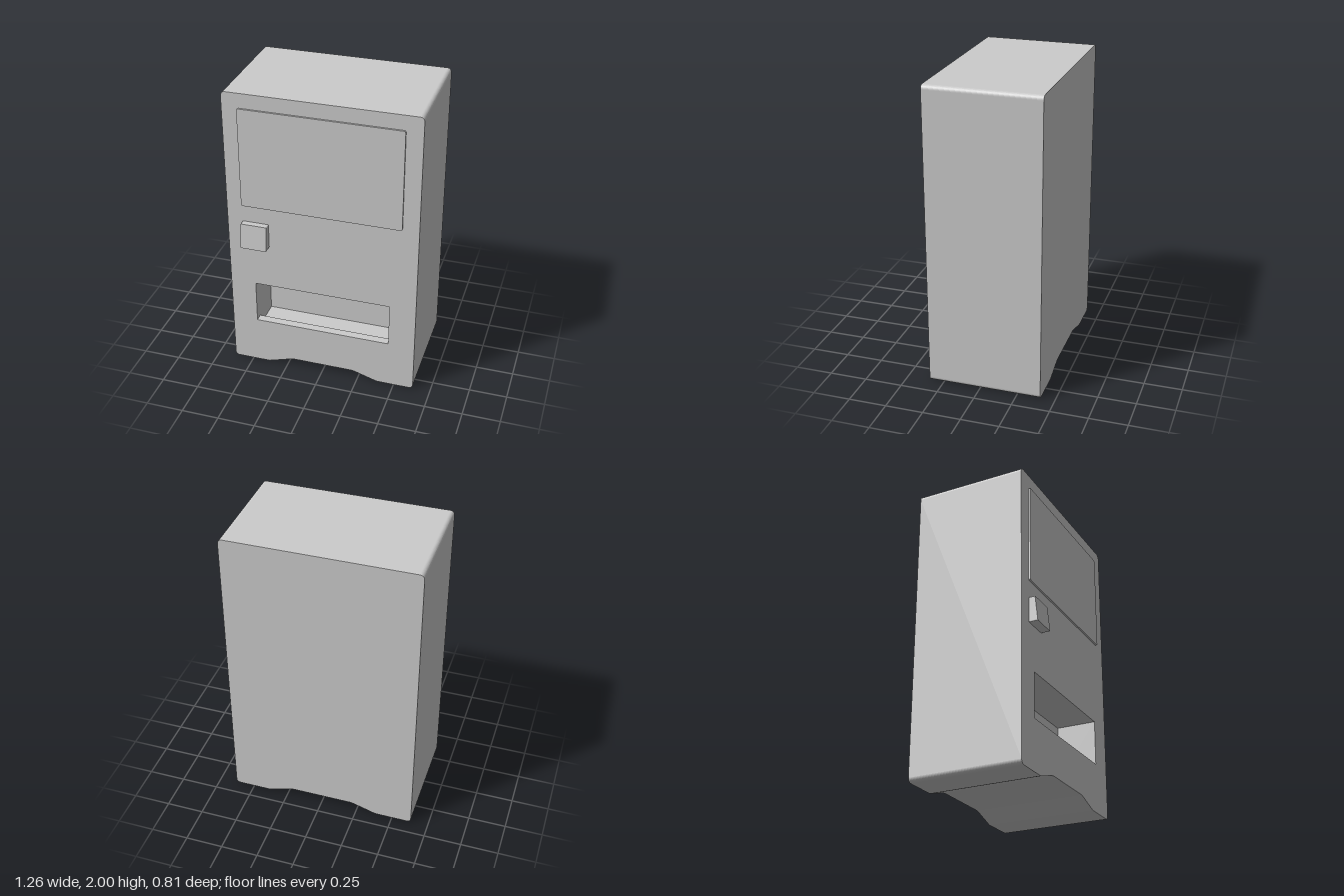
import * as THREE from 'three';

const material = new THREE.MeshStandardMaterial({ color: 0xcccccc, flatShading: true });
const thinMaterial = new THREE.MeshStandardMaterial({ color: 0xcccccc, flatShading: true, side: THREE.DoubleSide });

const FRONT = 0.345, BACK = -0.405;

function addMesh(parent, name, geometry, mat = material) {
  const mesh = new THREE.Mesh(geometry, mat);
  mesh.name = name;
  parent.add(mesh);
  return mesh;
}

// Flat wall following a line of points in x and y, from z = a to z = b
function wall(points, a, b) {
  const pos = [];
  for (let i = 0; i < points.length - 1; i++) {
    const p = points[i], q = points[i + 1];
    pos.push(p.x, p.y, a, q.x, q.y, a, q.x, q.y, b);
    pos.push(p.x, p.y, a, q.x, q.y, b, p.x, p.y, b);
  }
  const geometry = new THREE.BufferGeometry();
  geometry.setAttribute('position', new THREE.Float32BufferAttribute(pos, 3));
  geometry.computeVertexNormals();
  return geometry;
}

function roundedRect(x0, y0, x1, y1, r) {
  const s = new THREE.Shape();
  s.absarc(x1 - r, y0 + r, r, -Math.PI / 2, 0);
  s.absarc(x1 - r, y1 - r, r, 0, Math.PI / 2);
  s.absarc(x0 + r, y1 - r, r, Math.PI / 2, Math.PI);
  s.absarc(x0 + r, y0 + r, r, Math.PI, Math.PI * 1.5);
  s.closePath();
  return s;
}

// Cabinet outline: softened corners and a raised cut-out between the feet
function cabinetOutline() {
  const w = 0.632, r = 0.028;
  const s = new THREE.Shape();
  s.moveTo(-0.385, 0);
  s.lineTo(-0.37, 0.004);
  s.lineTo(-0.23, 0.048);
  s.lineTo(-0.205, 0.053);
  s.lineTo(0.205, 0.053);
  s.lineTo(0.23, 0.048);
  s.lineTo(0.37, 0.004);
  s.lineTo(0.385, 0);
  s.absarc(w - r, r, r, -Math.PI / 2, 0);
  s.absarc(w - r, 2 - r, r, 0, Math.PI / 2);
  s.absarc(-w + r, 2 - r, r, Math.PI / 2, Math.PI);
  s.absarc(-w + r, r, r, Math.PI, Math.PI * 1.5);
  s.closePath();
  return s;
}

export function createModel() {
  const model = new THREE.Group();
  model.name = 'vendingMachine';

  // Cabinet shell
  const cabinet = new THREE.Group();
  cabinet.name = 'cabinet';
  model.add(cabinet);
  const outline = cabinetOutline();
  addMesh(cabinet, 'cabinetSides', wall(outline.getPoints(4), BACK, FRONT));
  addMesh(cabinet, 'cabinetBack', new THREE.ShapeGeometry(outline, 4).rotateY(Math.PI).translate(0, 0, BACK));

  // Front face with the opening of the collection tray
  const x0 = -0.46, x1 = 0.456, y0 = 0.333, y1 = 0.632;
  const face = outline.clone();
  face.holes.push(new THREE.Path([[x0, y0], [x0, y1], [x1, y1], [x1, y0]].map(p => new THREE.Vector2(...p))));
  addMesh(cabinet, 'cabinetFront', new THREE.ShapeGeometry(face, 4).translate(0, 0, FRONT));

  // Collection tray: a recess whose floor drops behind a front lip
  const tray = new THREE.Group();
  tray.name = 'collectionTray';
  model.add(tray);
  const lip = FRONT - 0.055, rear = FRONT - 0.27, floor = 0.258;
  const profile = [[FRONT, y0], [lip, y0], [lip, floor], [rear, floor], [rear, y1], [FRONT, y1]]
    .map(p => new THREE.Vector2(...p));
  addMesh(tray, 'trayLining', wall(profile, -x1, -x0).rotateY(-Math.PI / 2));
  for (const [name, x] of [['trayRightWall', x0], ['trayLeftWall', x1]]) {
    const side = new THREE.ShapeGeometry(new THREE.Shape(profile)).rotateY(-Math.PI / 2).translate(x, 0, 0);
    addMesh(tray, name, side, thinMaterial);
  }

  // Display window
  const windowShape = roundedRect(-0.53, 1.224, 0.525, 1.902, 0.012);
  addMesh(model, 'displayWindow',
    new THREE.ExtrudeGeometry(windowShape, { depth: 0.017, bevelEnabled: false, curveSegments: 3 })
      .translate(0, 0, FRONT - 0.005));

  // Coin box with its front face leaning back
  const low = 0.935, high = 1.106;
  const coinBox = new THREE.ExtrudeGeometry(roundedRect(-0.53, low, -0.354, high, 0.006),
    { depth: 0.065, bevelEnabled: false, curveSegments: 3 }).translate(0, 0, FRONT - 0.005);
  const pos = coinBox.attributes.position;
  for (let i = 0; i < pos.count; i++) {
    if (pos.getZ(i) > FRONT) pos.setZ(i, 0.405 - 0.018 * (pos.getY(i) - low) / (high - low));
  }
  coinBox.computeVertexNormals();
  addMesh(model, 'coinBox', coinBox);

  return model;
}
